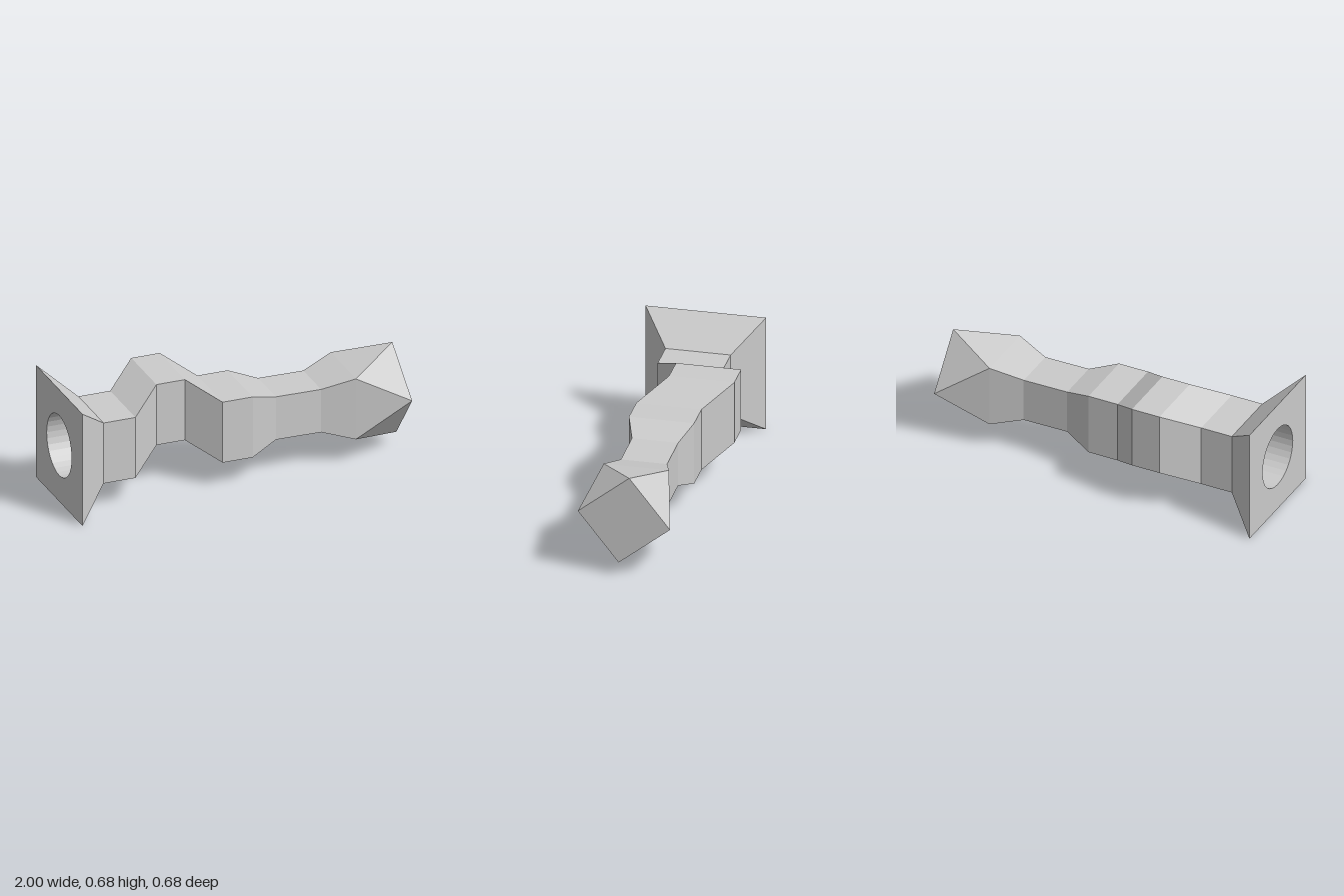
import * as THREE from 'three';

const CY = 0.342, BORE_R = 0.183, BORE_DEPTH = 0.37;

// Square cross-section, corners counter-clockwise seen from +x
function square(x, half, cy = CY, cz = 0) {
  return [[1, 1], [-1, 1], [-1, -1], [1, -1]].map(
    ([sy, sz]) => new THREE.Vector3(x, cy + sy * half, cz + sz * half));
}

// Cross-section turned about the long axis
function turnedSquare(x, radius, turn) {
  return [0, 1, 2, 3].map((i) => {
    const a = turn + i * Math.PI / 2;
    return new THREE.Vector3(x, CY - Math.sin(a) * radius, Math.cos(a) * radius);
  });
}

export function createModel() {
  const model = new THREE.Group();
  const material = new THREE.MeshStandardMaterial({ color: 0xcccccc, flatShading: true });
  const add = (name, geometry, mat = material) => {
    const mesh = new THREE.Mesh(geometry, mat);
    mesh.name = name;
    model.add(mesh);
    return mesh;
  };

  // Body: flared foot, offset bump, waist and twisted head
  const sections = [
    square(-1, 0.342),
    square(-0.81, 0.185),
    square(-0.62, 0.185),
    square(-0.435, 0.185, 0.445, -0.147),
    square(-0.265, 0.185, 0.445, -0.147),
    square(-0.1, 0.185),
    square(0.08, 0.185),
    square(0.24, 0.131, 0.344),
    square(0.51, 0.131, 0.341),
    square(0.695, 0.185),
    turnedSquare(1, 0.263, -0.114),
  ];
  const points = [];
  const tri = (...corners) => corners.forEach((p) => points.push(p.x, p.y, p.z));
  for (let s = 0; s < sections.length - 1; s++) {
    const a = sections[s], b = sections[s + 1];
    for (let i = 0; i < 4; i++) {
      const j = (i + 1) % 4;
      tri(a[i], a[j], b[i]);
      tri(a[j], b[j], b[i]);
    }
  }
  const end = sections[sections.length - 1];
  tri(end[0], end[1], end[2]);
  tri(end[0], end[2], end[3]);
  const body = new THREE.BufferGeometry();
  body.setAttribute('position', new THREE.Float32BufferAttribute(points, 3));
  body.computeVertexNormals();
  add('body', body);

  // Foot plate with a round opening
  const h = 0.342;
  const plate = new THREE.Shape([[-h, -h], [h, -h], [h, h], [-h, h]].map(([x, y]) => new THREE.Vector2(x, y)));
  plate.holes.push(new THREE.Path().absarc(0, 0, BORE_R, 0, Math.PI * 2, true));
  add('footPlate', new THREE.ShapeGeometry(plate, 16).rotateY(-Math.PI / 2)).position.set(-1, CY, 0);

  // Blind bore running in from the foot
  const inside = material.clone();
  inside.side = THREE.BackSide;
  add('boreWall', new THREE.CylinderGeometry(BORE_R, BORE_R, BORE_DEPTH, 32, 1, true).rotateZ(Math.PI / 2), inside)
    .position.set(-1 + BORE_DEPTH / 2, CY, 0);
  add('boreFloor', new THREE.CircleGeometry(BORE_R, 32).rotateY(-Math.PI / 2))
    .position.set(-1 + BORE_DEPTH, CY, 0);

  return model;
}
